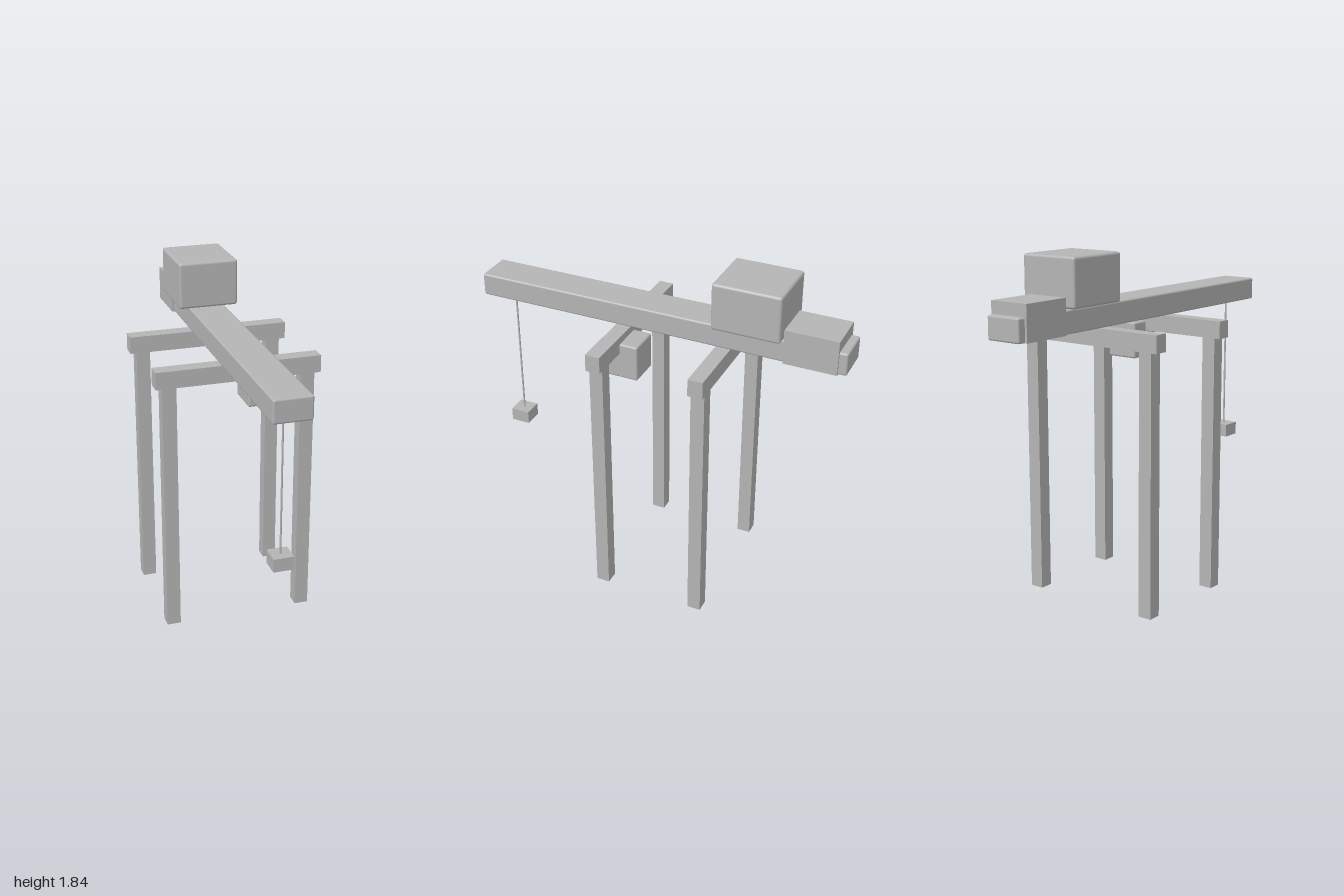
import * as THREE from 'three';
import { RoundedBoxGeometry } from 'three/addons/geometries/RoundedBoxGeometry.js';

export function createModel() {
  const crane = new THREE.Group();
  crane.name = 'gantryCrane';
  const grey = new THREE.MeshStandardMaterial({ color: 0xb4b4b4 });
  grey.name = 'plain grey';

  // Box between two extents on each axis; a bevel rounds its edges
  function box(name, [x0, x1], [y0, y1], [z0, z1], bevel = 0) {
    const size = [x1 - x0, y1 - y0, z1 - z0];
    const geometry = bevel
      ? new RoundedBoxGeometry(...size, 2, bevel)
      : new THREE.BoxGeometry(...size);
    const mesh = new THREE.Mesh(geometry, grey);
    mesh.name = name;
    mesh.position.set((x0 + x1) / 2, (y0 + y1) / 2, (z0 + z1) / 2);
    crane.add(mesh);
  }

  // Two portal frames: a crossbeam on a pair of legs
  for (const [end, z] of [['front', 0.182], ['back', -0.365]]) {
    box(end + 'Crossbeam', [-0.435, 0.435], [1.367, 1.458], [z - 0.039, z + 0.039]);
    for (const [side, x] of [['Left', 0.365], ['Right', -0.365]]) {
      box(end + side + 'Leg', [x - 0.037, x + 0.037], [0, 1.367], [z - 0.036, z + 0.036]);
    }
  }

  // Long boom with machinery house and counterweight at the rear
  box('boom', [-0.098, 0.098], [1.46, 1.58], [-1, 1], 0.01);
  box('machineryHouse', [-0.16, 0.16], [1.587, 1.835], [-0.68, -0.322], 0.014);
  box('counterweight', [-0.11, 0.11], [1.46, 1.642], [-0.957, -0.682]);

  // Operator cab hanging beside the boom, with a raised front window
  box('cab', [0.04, 0.213], [1.226, 1.419], [0.047, 0.243], 0.01);
  box('cabWindow', [0.054, 0.199], [1.277, 1.368], [0.235, 0.252]);

  // Hoist rope and hook block under the boom tip
  const rope = new THREE.Mesh(new THREE.CylinderGeometry(0.005, 0.005, 0.74, 8), grey);
  rope.name = 'hoistRope';
  rope.position.set(0, 1.095, 0.866);
  crane.add(rope);
  box('hookBlock', [-0.052, 0.052], [0.658, 0.728], [0.814, 0.918]);

  return crane;
}
